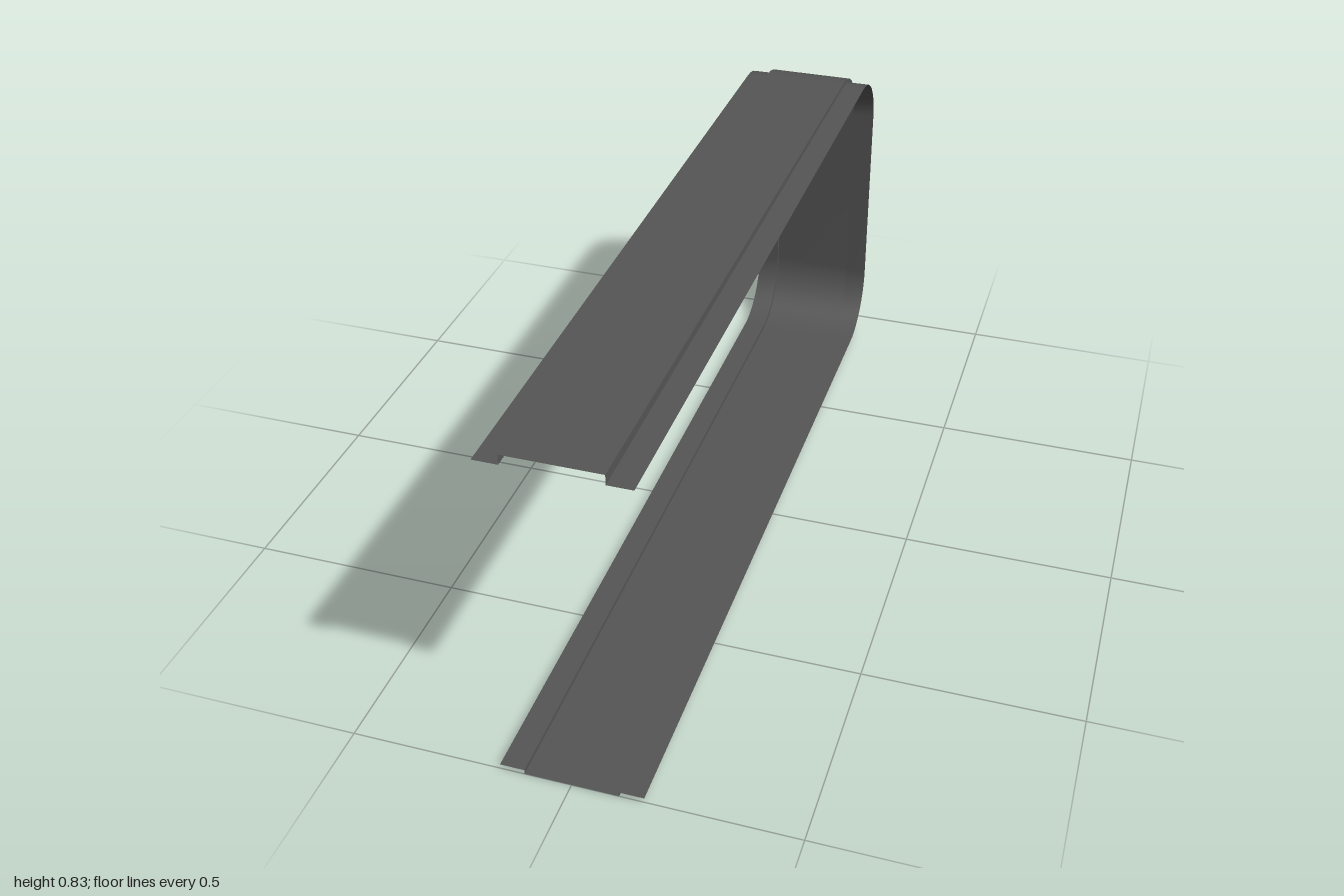
import * as THREE from 'three';

const HALF_WIDTH = 0.16, HALF_PANEL = 0.105, SEGMENTS = 10;

// Side outline of the bent band as [z, y], from the top front end round the back to the bottom front end
function outline({ topFront, topBack, back, bottom, radius }) {
  const pts = [[1, topFront]];
  for (let i = 0; i <= SEGMENTS; i++) {
    const a = (i / SEGMENTS) * Math.PI / 2;
    pts.push([back + radius * (1 - Math.sin(a)), topBack - radius * (1 - Math.cos(a))]);
  }
  for (let i = 0; i <= SEGMENTS; i++) {
    const a = (i / SEGMENTS) * Math.PI / 2;
    pts.push([back + radius * (1 - Math.cos(a)), bottom + radius * (1 - Math.sin(a))]);
  }
  pts.push([1, bottom]);
  return pts;
}

// Sheet joining two outlines placed at two x positions
function strip(name, pathA, xA, pathB, xB, material) {
  const position = [], index = [];
  pathA.forEach(([z, y], i) => {
    position.push(xA, y, z, xB, pathB[i][1], pathB[i][0]);
    if (i > 0) {
      const k = 2 * (i - 1);
      index.push(k, k + 1, k + 2, k + 1, k + 3, k + 2);
    }
  });
  const geometry = new THREE.BufferGeometry();
  geometry.setAttribute('position', new THREE.Float32BufferAttribute(position, 3));
  geometry.setIndex(index);
  geometry.computeVertexNormals();
  const mesh = new THREE.Mesh(geometry, material);
  mesh.name = name;
  return mesh;
}

export function createModel() {
  const group = new THREE.Group();
  group.name = 'bentChannelStrip';
  const material = new THREE.MeshStandardMaterial({ color: 0x555555, side: THREE.DoubleSide });

  // The raised panel lies outside the flanges and lifts a little more towards the top front
  const flange = outline({ topFront: 0.805, topBack: 0.805, back: -0.99, bottom: 0.013, radius: 0.15 });
  const panel = outline({ topFront: 0.828, topBack: 0.815, back: -1, bottom: 0.002, radius: 0.16 });

  group.add(
    strip('rightFlange', flange, -HALF_WIDTH, flange, -HALF_PANEL, material),
    strip('rightStep', flange, -HALF_PANEL, panel, -HALF_PANEL, material),
    strip('raisedPanel', panel, -HALF_PANEL, panel, HALF_PANEL, material),
    strip('leftStep', panel, HALF_PANEL, flange, HALF_PANEL, material),
    strip('leftFlange', flange, HALF_PANEL, flange, HALF_WIDTH, material),
  );
  return group;
}
